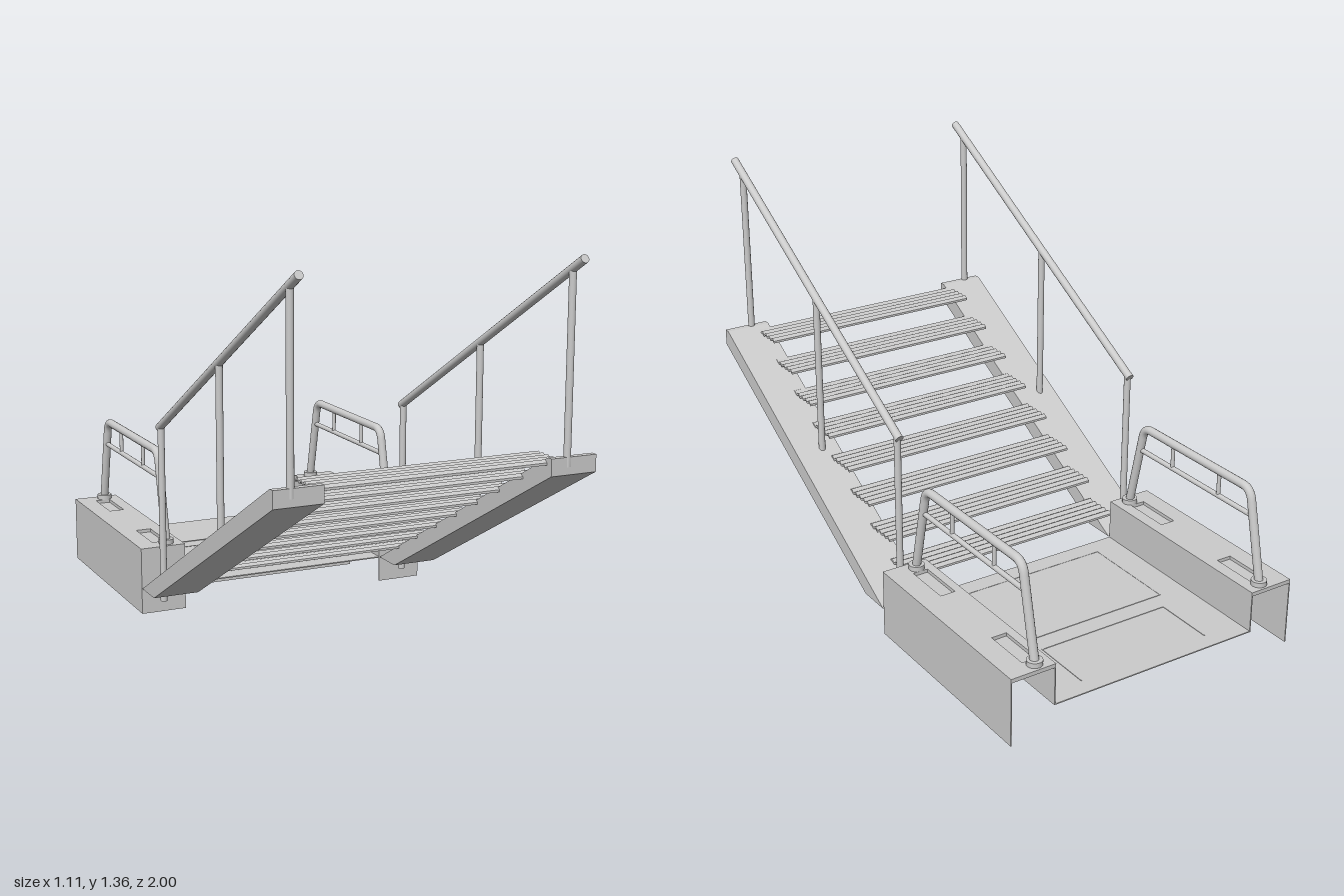
import * as THREE from 'three';

const material = new THREE.MeshStandardMaterial({ color: 0xcccccc, side: THREE.DoubleSide });
const V = (x, y, z) => new THREE.Vector3(x, y, z);

function add(parent, name, geometry) {
  const mesh = new THREE.Mesh(geometry, material);
  mesh.name = name;
  parent.add(mesh);
  return mesh;
}

// Box given by its lower and upper corners
function box(parent, name, x0, x1, y0, y1, z0, z1) {
  const g = new THREE.BoxGeometry(x1 - x0, y1 - y0, z1 - z0);
  g.translate((x0 + x1) / 2, (y0 + y1) / 2, (z0 + z1) / 2);
  return add(parent, name, g);
}

// Round bar between two points
function bar(parent, name, a, b, radius) {
  const mesh = add(parent, name, new THREE.CylinderGeometry(radius, radius, a.distanceTo(b), 16));
  mesh.position.copy(a).lerp(b, 0.5);
  mesh.quaternion.setFromUnitVectors(V(0, 1, 0), b.clone().sub(a).normalize());
  return mesh;
}

// Side profile of [z, y] points, extruded across from x0 to x1
function sideExtrude(parent, name, points, x0, x1) {
  const shape = new THREE.Shape(points.map(([z, y]) => new THREE.Vector2(z, y)));
  const g = new THREE.ExtrudeGeometry(shape, { depth: x1 - x0, bevelEnabled: false });
  g.rotateY(-Math.PI / 2);
  g.translate(x1, 0, 0);
  return add(parent, name, g);
}

function rect(Type, x0, x1, z0, z1) {
  return new Type([[x0, z0], [x1, z0], [x1, z1], [x0, z1]].map(([x, z]) => new THREE.Vector2(x, -z)));
}

// Horizontal plate with holes, top face at height y
function plate(parent, name, outline, holes, y, thickness) {
  const shape = rect(THREE.Shape, ...outline);
  holes.forEach((h) => shape.holes.push(rect(THREE.Path, ...h)));
  const g = new THREE.ExtrudeGeometry(shape, { depth: thickness, bevelEnabled: false });
  g.rotateX(-Math.PI / 2);
  g.translate(0, y - thickness, 0);
  return add(parent, name, g);
}

const OUT = 0.555, INNER = 0.39, FLOOR = 0.095, TOP = 0.24, BACK = -1, FRONT = -0.225, T = 0.004;

function createPlatform() {
  const platform = new THREE.Group();
  platform.name = 'platform';
  box(platform, 'floor', -INNER, INNER, FLOOR - T, FLOOR, BACK, FRONT);
  box(platform, 'underfloorBox', -0.29, 0.3, 0.06, FLOOR + 0.001, -0.655, -0.29);
  plate(platform, 'underfloorFrame', [-0.25, 0.25, -0.94, -0.72], [[-0.235, 0.235, -0.925, -0.735]], FLOOR - T, 0.004);
  // Fine raised seams on the floor
  const seam = 0.002;
  plate(platform, 'floorSeam', [-0.29, 0.3, -0.655, -0.29], [[-0.286, 0.296, -0.651, -0.294]], FLOOR + seam, seam);
  box(platform, 'frontSeam', -0.25, 0.25, FLOOR, FLOOR + seam, -0.724, -0.72);
  for (const x of [-0.25, 0.246]) box(platform, 'sideSeam', x, x + 0.004, FLOOR, FLOOR + seam, -0.94, -0.72);

  for (const s of [-1, 1]) {
    const side = new THREE.Group();
    side.name = s > 0 ? 'leftSideBox' : 'rightSideBox';
    platform.add(side);
    const span = (a, b) => (s > 0 ? [a, b] : [-b, -a]);
    // Folded sheet, open below and at the back
    box(side, 'outerWall', ...span(OUT - T, OUT), 0, TOP, BACK, FRONT);
    box(side, 'innerWall', ...span(INNER, INNER + T), FLOOR - T, TOP, BACK, FRONT);
    box(side, 'frontWall', ...span(INNER, OUT), 0, TOP, FRONT - T, FRONT);
    const slotX = s > 0 ? [0.42, 0.475] : [-0.49, -0.435];
    const slots = [[-0.94, -0.77], [-0.465, -0.29]].map((z) => [...slotX, ...z]);
    plate(side, 'slottedTop', [...span(INNER, OUT), BACK, FRONT], slots, TOP, 0.014);
    slots.forEach((o) => plate(side, 'slotBottom', o, [], TOP - 0.012, 0.002));
    side.add(createGuard(s * 0.447));
  }
  return platform;
}

// Bent tube guard with a mid bar, two short uprights and round feet
function createGuard(x) {
  const guard = new THREE.Group();
  guard.name = 'sideGuard';
  const path = new THREE.CurvePath();
  const p = (z, y) => V(x, y, z);
  path.add(new THREE.LineCurve3(p(-0.262, TOP), p(-0.326, 0.525)));
  path.add(new THREE.QuadraticBezierCurve3(p(-0.326, 0.525), p(-0.335, 0.562), p(-0.37, 0.562)));
  path.add(new THREE.LineCurve3(p(-0.37, 0.562), p(-0.86, 0.562)));
  path.add(new THREE.QuadraticBezierCurve3(p(-0.86, 0.562), p(-0.895, 0.562), p(-0.904, 0.525)));
  path.add(new THREE.LineCurve3(p(-0.904, 0.525), p(-0.968, TOP)));
  add(guard, 'guardTube', new THREE.TubeGeometry(path, 100, 0.015, 14));
  bar(guard, 'midBar', p(-0.313, 0.47), p(-0.917, 0.47), 0.009);
  for (const z of [-0.495, -0.74]) bar(guard, 'shortUpright', p(z, 0.47), p(z, 0.56), 0.007);
  for (const z of [-0.264, -0.966]) bar(guard, 'foot', p(z, TOP), p(z, TOP + 0.017), 0.027);
  return guard;
}

// Corrugated tread profile, wavy above and below
function treadProfile(z0, y) {
  const top = [], bottom = [], n = 30;
  for (let i = 0; i <= n; i++) {
    const z = z0 + (0.14 * i) / n;
    const wave = 0.004 * Math.cos((i / n) * Math.PI * 10);
    top.push([z, y - 0.004 - wave]);
    bottom.unshift([z, y - 0.012 - wave]);
  }
  return [...top, ...bottom];
}

function createStairs() {
  const stairs = new THREE.Group();
  stairs.name = 'stairs';
  const profile = [[-0.22, FLOOR], [-0.1, FLOOR], [0.94, 0.665], [0.94, 0.722], [0.918, 0.722]];
  sideExtrude(stairs, 'leftStringer', profile, INNER, OUT);
  sideExtrude(stairs, 'rightStringer', profile, -OUT, -INNER);
  for (let i = 0; i < 8; i++) {
    sideExtrude(stairs, 'tread', treadProfile(-0.205 + 0.14 * i, 0.185 + 0.0754 * i), -0.41, 0.437);
  }
  // Sloping handrails on three posts each
  for (const x of [-0.495, 0.453]) {
    const rail = new THREE.Group();
    rail.name = 'handrail';
    stairs.add(rail);
    bar(rail, 'rail', V(x, 0.684, -0.178), V(x, 1.348, 0.993), 0.0145);
    for (const [z, y0, y1] of [[0.93, 0.69, 1.31], [0.385, 0.42, 1.0], [-0.163, 0.06, 0.69]]) {
      bar(rail, 'post', V(x, y0, z), V(x, y1, z), 0.012);
    }
  }
  return stairs;
}

export function createModel() {
  const model = new THREE.Group();
  model.name = 'boardingSteps';
  model.add(createPlatform(), createStairs());
  return model;
}
